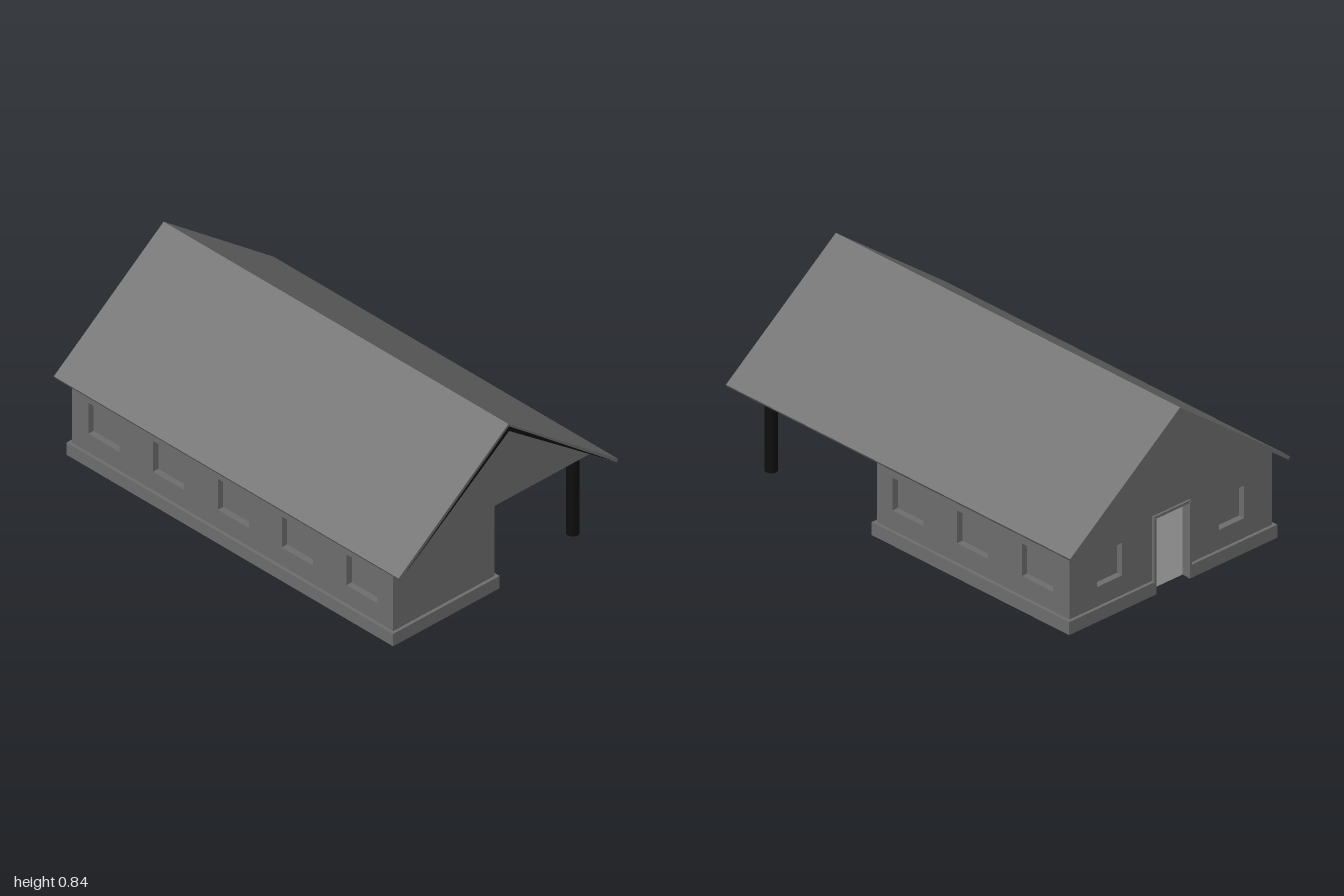
import * as THREE from 'three';

const V2 = (x, y) => new THREE.Vector2(x, y);

export function createModel() {
  const house = new THREE.Group();
  house.name = 'house';

  const mat = (name, color, side = THREE.FrontSide) => {
    const m = new THREE.MeshStandardMaterial({ color, side });
    m.name = name;
    return m;
  };
  const wallGrey = mat('wall grey', 0x6e6e6e, THREE.DoubleSide);
  const roofGrey = mat('roof grey', 0x6e6e6e);
  const doorGrey = mat('door light grey', 0xc4c4c4, THREE.DoubleSide);
  const black = mat('post black', 0x0e0e0e);

  const add = (parent, name, geometry, material, x = 0, y = 0, z = 0) => {
    const mesh = new THREE.Mesh(geometry, material);
    mesh.name = name;
    mesh.position.set(x, y, z);
    parent.add(mesh);
    return mesh;
  };

  // Footprint: an L with the porch cut out of the back corner
  const L = -0.945, R = 0.915, D = 0.565, P = 0.17;
  const BASE = 0.06, TOP = 0.4, APEX = 0.825, DOOR = 0.095, DOOR_TOP = 0.35;
  const DEPTH = 0.03, WIN_W = 0.18, WIN_END = 0.14, WIN_H = 0.15, WIN_Y = 0.225;

  // Four reveals around an opening, running back from the wall face
  const reveals = (parent, name, u, v, w, h, bottom = true) => {
    for (const s of [-1, 1]) {
      const side = add(parent, name, new THREE.PlaneGeometry(DEPTH, h), wallGrey, u + s * w / 2, v, -DEPTH / 2);
      side.rotation.y = -s * Math.PI / 2;
      if (s < 0 && !bottom) continue;
      const sill = add(parent, name, new THREE.PlaneGeometry(w, DEPTH), wallGrey, u, v + s * h / 2, -DEPTH / 2);
      sill.rotation.x = s * Math.PI / 2;
    }
  };

  // A thin wall with recessed windows; local z points outwards
  const wall = (name, outline, windows, w, x, z, turn) => {
    const g = new THREE.Group();
    g.name = name;
    g.position.set(x, 0, z);
    g.rotation.y = turn;
    const shape = new THREE.Shape(outline.map(([u, v]) => V2(u, v)));
    for (const u of windows) {
      const a = u - w / 2, b = u + w / 2, c = WIN_Y - WIN_H / 2, d = WIN_Y + WIN_H / 2;
      shape.holes.push(new THREE.Path([V2(a, c), V2(a, d), V2(b, d), V2(b, c)]));
      add(g, 'windowPane', new THREE.PlaneGeometry(w, WIN_H), wallGrey, u, WIN_Y, -DEPTH);
      reveals(g, 'windowReveal', u, WIN_Y, w, WIN_H);
    }
    add(g, name + 'Face', new THREE.ShapeGeometry(shape), wallGrey);
    house.add(g);
    return g;
  };
  const rect = (a, b) => [[a, BASE], [b, BASE], [b, TOP], [a, TOP]];

  // Long walls and porch walls
  const xs = [-0.76, -0.385, -0.01, 0.36, 0.735];
  wall('frontWall', rect(L, R), xs, WIN_W, 0, D, 0);
  wall('backWall', rect(-P, -L), xs.slice(0, 3).map(x => -x), WIN_W, 0, -D, Math.PI);
  wall('porchLongWall', rect(-R, -P), xs.slice(3).map(x => -x), WIN_W, 0, 0, Math.PI);
  wall('porchEndWall', rect(0, D), [0.34], WIN_END, P, 0, Math.PI / 2);

  // Gable over the porch, and gable with the doorway
  wall('porchGable', [[-D, BASE], [0, BASE], [0, TOP], [D, TOP], [0, APEX], [-D, TOP]],
    [], 0, R, 0, Math.PI / 2);
  const doorGable = wall('doorGable',
    [[-D, BASE], [-DOOR, BASE], [-DOOR, DOOR_TOP], [DOOR, DOOR_TOP], [DOOR, BASE],
      [D, BASE], [D, TOP], [0, APEX], [-D, TOP]],
    [-0.34, 0.34], WIN_END, L, 0, -Math.PI / 2);

  // Door, its reveals and its slightly raised frame
  add(doorGable, 'door', new THREE.PlaneGeometry(2 * DOOR, DOOR_TOP), doorGrey, 0, DOOR_TOP / 2, -DEPTH);
  reveals(doorGable, 'doorReveal', 0, DOOR_TOP / 2, 2 * DOOR, DOOR_TOP, false);
  for (const s of [-1, 1]) {
    add(doorGable, 'doorFrameSide', new THREE.BoxGeometry(0.012, DOOR_TOP, 0.015), wallGrey,
      s * (DOOR + 0.004), DOOR_TOP / 2, 0.0075);
  }
  add(doorGable, 'doorFrameTop', new THREE.BoxGeometry(2 * DOOR + 0.02, 0.012, 0.01), wallGrey, 0, DOOR_TOP, 0.005);

  // Plinth: an upright skirt and a narrow ledge, open at the door
  const o = 0.015;
  const inner = [[L, DOOR], [L, D], [R, D], [R, 0], [P, 0], [P, -D], [L, -D], [L, -DOOR]];
  const outset = [[-o, 0], [-o, o], [o, o], [o, -o], [o, -o], [o, -o], [-o, -o], [-o, 0]];
  const outer = inner.map(([x, z], i) => [x + outset[i][0], z + outset[i][1]]);
  const pos = [];
  const quad = (a, b, c, d) => pos.push(...a, ...b, ...c, ...a, ...c, ...d);
  const at = ([x, z], y) => [x, y, z];
  for (let i = 0; i < inner.length - 1; i++) {
    quad(at(outer[i], 0), at(outer[i + 1], 0), at(outer[i + 1], BASE), at(outer[i], BASE));
    quad(at(outer[i], BASE), at(outer[i + 1], BASE), at(inner[i + 1], BASE), at(inner[i], BASE));
  }
  const plinth = new THREE.BufferGeometry();
  plinth.setAttribute('position', new THREE.Float32BufferAttribute(pos, 3));
  plinth.computeVertexNormals();
  add(house, 'plinth', plinth, wallGrey);

  // Porch ceiling and post
  const ceiling = add(house, 'porchCeiling', new THREE.PlaneGeometry(R - P, D), wallGrey, (R + P) / 2, TOP, -D / 2);
  ceiling.rotation.x = Math.PI / 2;
  add(house, 'porchPost', new THREE.CylinderGeometry(0.0275, 0.0275, TOP, 16), black, 0.85, TOP / 2, -0.5);

  // Roof and dark verge, both gable profiles run along x
  const alongX = (name, profile, from, to, material) => {
    const geo = new THREE.ExtrudeGeometry(new THREE.Shape(profile.map(([u, v]) => V2(u, v))),
      { depth: to - from, bevelEnabled: false });
    geo.rotateY(Math.PI / 2);
    add(house, name, geo, material, from);
  };
  alongX('roof', [[0, 0.84], [-0.613, 0.378], [-0.605, 0.365], [0, 0.82], [0.605, 0.365], [0.613, 0.378]],
    -1, 0.996, roofGrey);
  alongX('verge', [[0, 0.83], [-0.57, 0.394], [0, 0.808], [0.57, 0.394]], 0.992, 1, black);

  return house;
}
